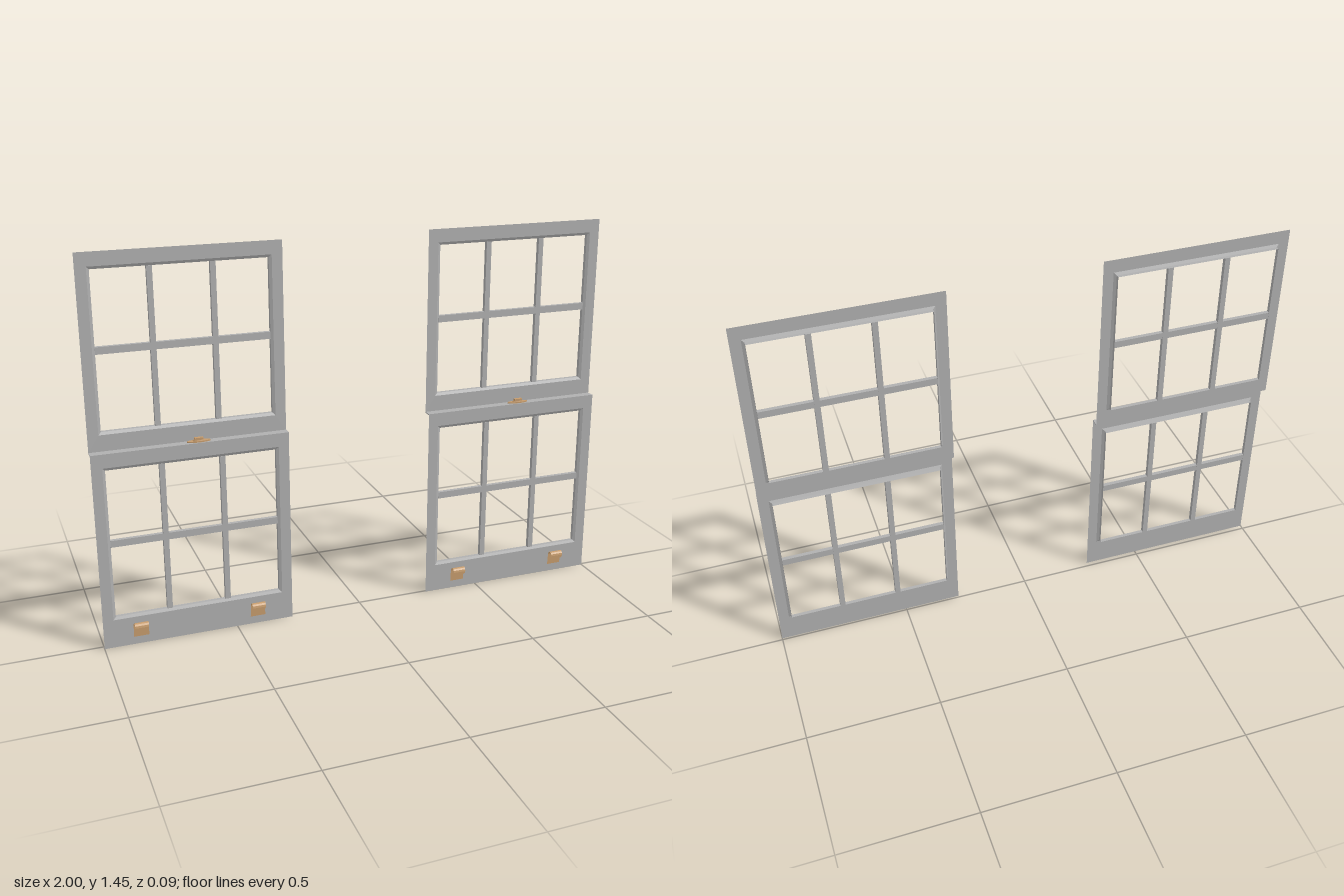
import * as THREE from 'three';

const paint = new THREE.MeshStandardMaterial({ color: 0xb0b0b0, side: THREE.DoubleSide });
paint.name = 'grey paint';
const brass = new THREE.MeshStandardMaterial({ color: 0xc69c6d, side: THREE.DoubleSide });
brass.name = 'brass';

const HALF = 0.359;     // half width of a sash
const HOLE = 0.32;      // half width of its opening

function add(parent, name, geometry, material, x = 0, y = 0, z = 0) {
  const mesh = new THREE.Mesh(geometry, material);
  mesh.name = name;
  mesh.position.set(x, y, z);
  parent.add(mesh);
  return mesh;
}

function rectangle(path, hw, y0, y1) {
  path.moveTo(-hw, y0).lineTo(hw, y0).lineTo(hw, y1).lineTo(-hw, y1).closePath();
  return path;
}

// Strip surface between successive rows of points, with flat shaded faces
function skin(rows) {
  const pos = [], idx = [], n = rows[0].length;
  rows.forEach(row => row.forEach(p => pos.push(...p)));
  for (let r = 0; r < rows.length - 1; r++) {
    for (let i = 0; i < n - 1; i++) {
      const a = r * n + i, b = a + n;
      idx.push(a, a + 1, b, a + 1, b + 1, b);
    }
  }
  const g = new THREE.BufferGeometry();
  g.setAttribute('position', new THREE.Float32BufferAttribute(pos, 3));
  g.setIndex(idx);
  const flat = g.toNonIndexed();
  flat.computeVertexNormals();
  return flat;
}

// One sash: thin face board, moulding that steps in and runs back, glazing bars
function sash(name, bottom, top, holeBottom, holeTop, barY) {
  const g = new THREE.Group();
  g.name = name;
  const board = rectangle(new THREE.Shape(), HALF, bottom, top);
  board.holes.push(rectangle(new THREE.Path(), HOLE, holeBottom, holeTop));
  add(g, 'sashBoard', new THREE.ShapeGeometry(board), paint);

  const loop = (inset, z) => {
    const w = HOLE - inset, a = holeBottom + inset, b = holeTop - inset;
    return [[-w, a, z], [w, a, z], [w, b, z], [-w, b, z], [-w, a, z]];
  };
  add(g, 'moulding', skin([loop(0, 0), loop(0.01, -0.005), loop(0.01, -0.019)]), paint);

  for (const x of [-0.11, 0.11]) {
    add(g, 'uprightBar', new THREE.BoxGeometry(0.02, holeTop - holeBottom - 0.02, 0.016),
      paint, x, (holeTop + holeBottom) / 2, -0.011);
  }
  add(g, 'crossBar', new THREE.BoxGeometry(0.62, 0.026, 0.015), paint, 0, barY, -0.0105);
  return g;
}

// Hooked finger lift: back plate, arch and a tapering lip
function fingerLift() {
  const profile = [[0.03, 0.001, 0.029], [0.075, 0.001, 0.027]];
  for (let i = 1; i <= 6; i++) {
    const t = Math.PI * i / 6;
    profile.push([0.075 + 0.015 * Math.sin(t), 0.0135 - 0.0125 * Math.cos(t), 0.027 - 0.002 * i / 6]);
  }
  profile.push([0.068, 0.026, 0.023], [0.063, 0.026, 0.017]);
  return skin(profile.map(([y, z, w]) => [[-w, y, z], [w, y, z]]));
}

function windowUnit(name, x, z) {
  const g = new THREE.Group();
  g.name = name;
  g.position.set(x, 0, z);

  const upper = sash('upperSash', 0.748, 1.45, 0.81, 1.4, 1.11);
  upper.position.z = -0.0325;
  const lower = sash('lowerSash', 0, 0.75, 0.11, 0.698, 0.408);
  g.add(upper, lower);

  // Ledge joining the two sashes
  add(g, 'meetingRail', new THREE.BoxGeometry(2 * HALF, 0.004, 0.0325), paint, 0, 0.748, -0.01625);

  for (const side of [-1, 1]) add(g, 'fingerLift', fingerLift(), brass, side * 0.222, 0, 0);

  // Sash lock on the ledge
  const base = add(g, 'lockBase', new THREE.CylinderGeometry(0.5, 0.5, 0.005, 16), brass, 0.028, 0.7525, -0.016);
  base.scale.set(0.085, 1, 0.022);
  const hub = add(g, 'lockHub', new THREE.CylinderGeometry(0.4, 0.5, 0.007, 12), brass, 0.028, 0.7575, -0.016);
  hub.scale.set(0.046, 1, 0.02);
  add(g, 'lockLever', new THREE.BoxGeometry(0.032, 0.008, 0.013), brass, 0.028, 0.763, -0.013);
  return g;
}

export function createModel() {
  const model = new THREE.Group();
  model.name = 'sashWindows';
  model.add(windowUnit('rightWindow', -0.641, 0.018), windowUnit('leftWindow', 0.641, 0.007));
  return model;
}
